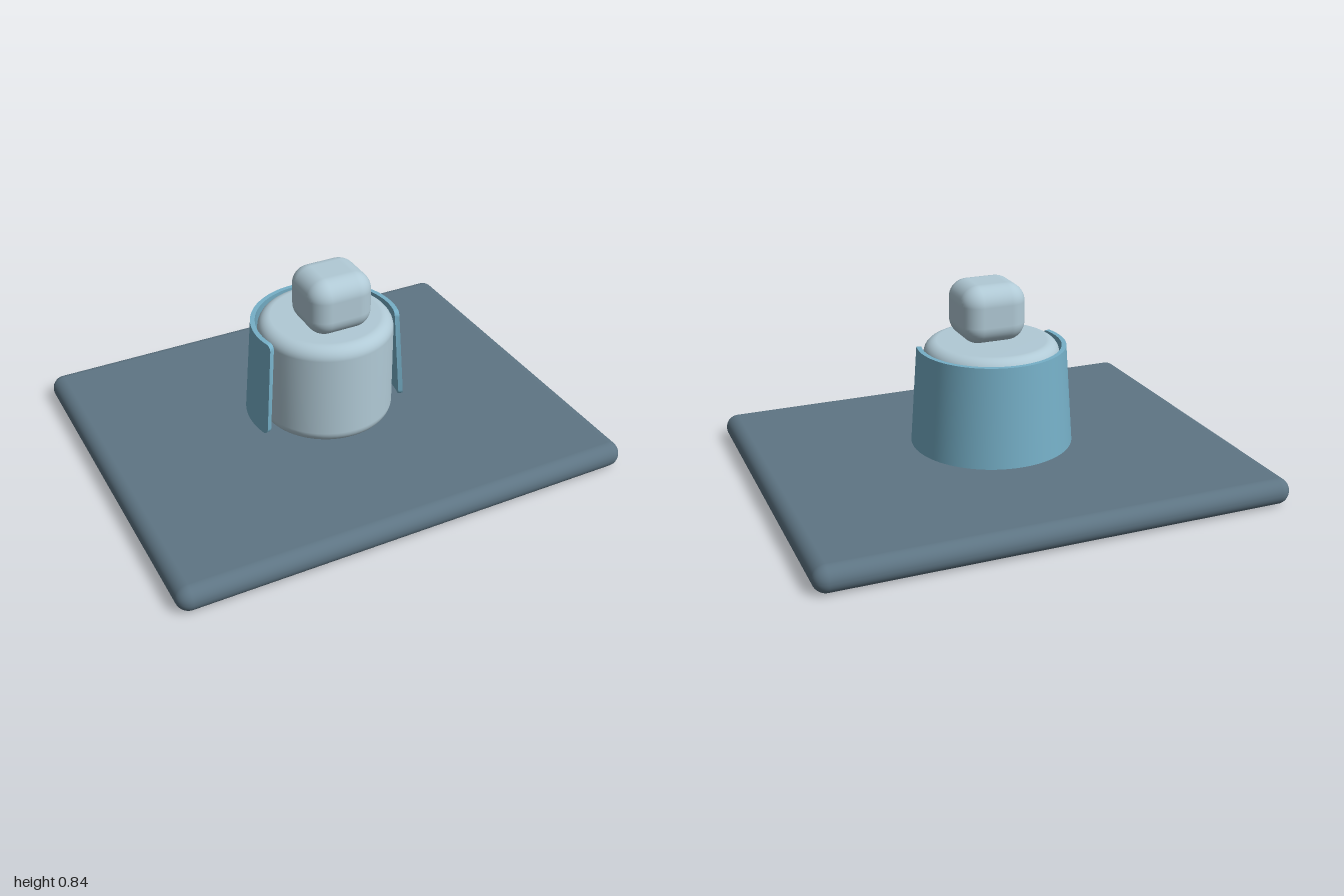
import * as THREE from 'three';
import { toCreasedNormals } from 'three/addons/utils/BufferGeometryUtils.js';
import { RoundedBoxGeometry } from 'three/addons/geometries/RoundedBoxGeometry.js';

const material = (name, color) => {
  const m = new THREE.MeshStandardMaterial({ color });
  m.name = name;
  return m;
};

// Flared, open-fronted shell with rounded front corners
function wrapGeometry() {
  const limit = THREE.MathUtils.degToRad(108.5), low = 0.15, high = 0.575, corner = 0.025, thick = 0.02;
  const radiusAt = (y) => 0.345 - 0.03 * (y - low) / (high - low);
  const angles = [];
  const steps = 6, cornerAngle = corner / 0.33, span = limit - cornerAngle;
  for (let i = 0; i < steps; i++) angles.push(-limit + cornerAngle * (1 - Math.cos(i / steps * Math.PI / 2)));
  for (let i = 0; i <= 56; i++) angles.push(-span + 2 * span * i / 56);
  for (let i = steps - 1; i >= 0; i--) angles.push(limit - cornerAngle * (1 - Math.cos(i / steps * Math.PI / 2)));

  const positions = [], index = [];
  angles.forEach((a, i) => {
    const d = Math.max(0, cornerAngle - (limit - Math.abs(a))) / cornerAngle;
    const inset = corner * (1 - Math.sqrt(Math.max(0, 1 - d * d)));
    const y0 = low + inset, y1 = high - inset;
    // Section: inner low, outer low, outer high, inner high
    for (const [y, t] of [[y0, thick], [y0, 0], [y1, 0], [y1, thick]]) {
      const r = radiusAt(y) - t;
      positions.push(r * Math.sin(a), y, -r * Math.cos(a));
    }
    if (i === 0) return;
    const p = (i - 1) * 4, q = i * 4;
    for (let k = 0; k < 4; k++) {
      const n = (k + 1) % 4;
      index.push(p + k, p + n, q + k, q + k, p + n, q + n);
    }
  });
  const e = (angles.length - 1) * 4;
  index.push(0, 2, 1, 0, 3, 2, e, e + 1, e + 2, e, e + 2, e + 3);

  const g = new THREE.BufferGeometry();
  g.setAttribute('position', new THREE.Float32BufferAttribute(positions, 3));
  g.setIndex(index);
  return toCreasedNormals(g, 0.7);
}

// Upright cylinder with rounded rims
function bodyGeometry(radius, low, high, rim) {
  const points = [new THREE.Vector2(0, low)];
  for (let i = 0; i <= 8; i++) {
    const t = -Math.PI / 2 + i / 8 * Math.PI / 2;
    points.push(new THREE.Vector2(radius - rim + rim * Math.cos(t), low + rim + rim * Math.sin(t)));
  }
  for (let i = 0; i <= 8; i++) {
    const t = i / 8 * Math.PI / 2;
    points.push(new THREE.Vector2(radius - rim + rim * Math.cos(t), high - rim + rim * Math.sin(t)));
  }
  points.push(new THREE.Vector2(0, high));
  return new THREE.LatheGeometry(points, 64);
}

export function createModel() {
  const group = new THREE.Group();
  const slate = material('slate blue', 0x5e7584);
  const pale = material('pale blue', 0xb1cad6);
  const sky = material('sky blue', 0x76b0c8);

  const add = (name, geometry, mat, x = 0, y = 0, z = 0) => {
    const mesh = new THREE.Mesh(geometry, mat);
    mesh.name = name;
    mesh.position.set(x, y, z);
    group.add(mesh);
  };

  add('basePlate', new RoundedBoxGeometry(2, 0.112, 1.62, 6, 0.055), slate, 0, 0.056, 0);
  add('body', bodyGeometry(0.286, 0.13, 0.595, 0.055), pale);
  add('head', new RoundedBoxGeometry(0.285, 0.247, 0.272, 6, 0.08), pale, 0, 0.713, 0.054);
  add('wrap', wrapGeometry(), sky);
  return group;
}
